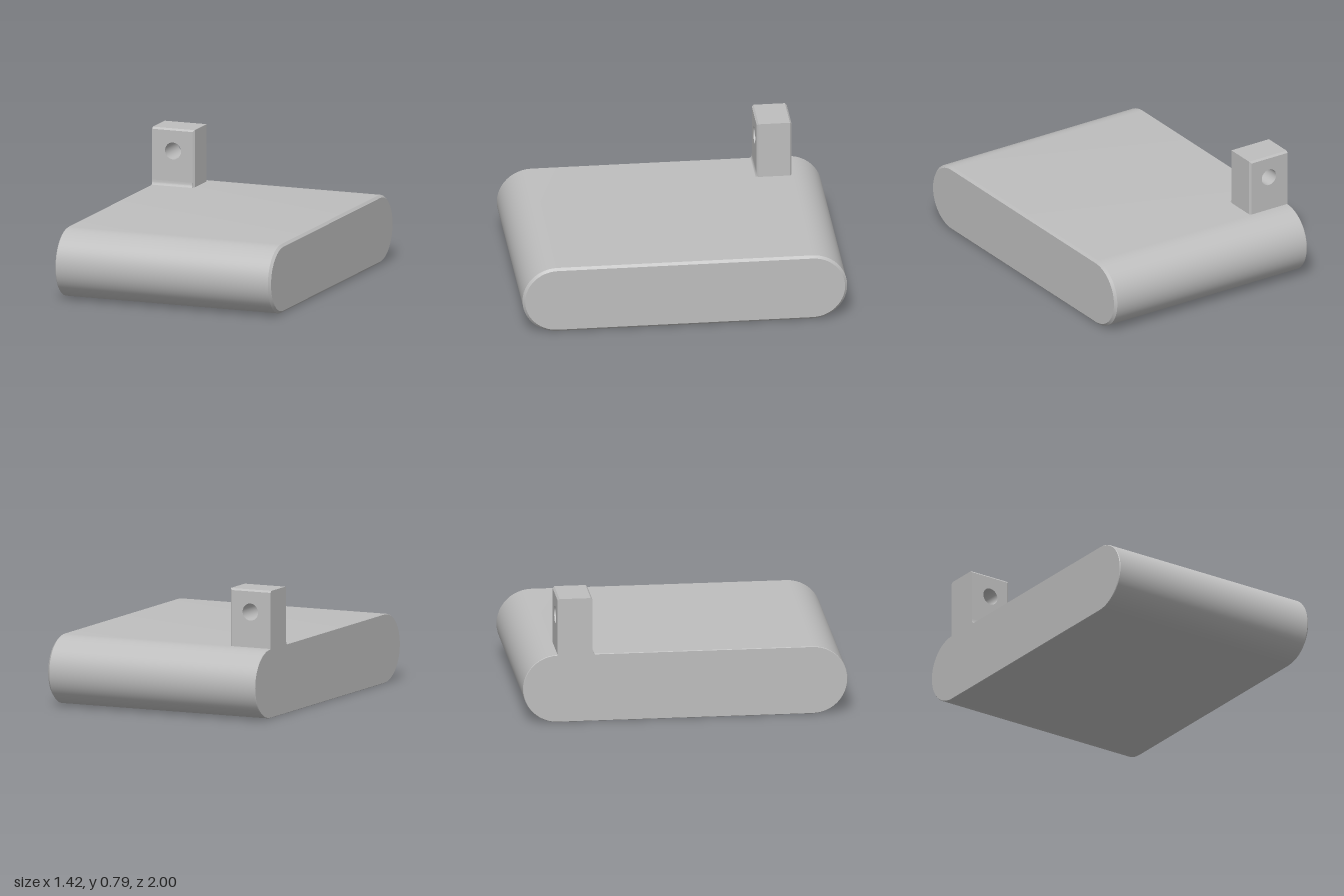
import * as THREE from 'three';
import { toCreasedNormals } from 'three/addons/utils/BufferGeometryUtils.js';

const END = 0.71, RADIUS = 0.214, CENTRE_Z = 0.786;

// Rounded slab outline in the z-y plane, shrunk by an inset
function outline(inset, steps = 24) {
  const points = [];
  for (const side of [1, -1]) {
    for (let i = 0; i <= steps; i++) {
      const a = side * (-Math.PI / 2 + (Math.PI * i) / steps);
      const r = RADIUS - inset;
      points.push([side * (CENTRE_Z + r * Math.cos(a)), RADIUS + side * r * Math.sin(a)]);
    }
  }
  return points;
}

// Slab lofted along x, with a chamfer on its left end and a fine edge on its right
function slabGeometry() {
  const rings = [[-END, 0.003], [-END + 0.004, 0], [END - 0.015, 0], [END, 0.015]];
  const positions = [], index = [];
  let n = 0;
  for (const [x, inset] of rings) {
    const points = outline(inset);
    n = points.length;
    // the lower arc of the back end must follow the front end, so sort around the centre
    points.sort((p, q) => Math.atan2(p[1] - RADIUS, p[0]) - Math.atan2(q[1] - RADIUS, q[0]));
    for (const [z, y] of points) positions.push(x, y, z);
  }
  for (let r = 0; r < rings.length - 1; r++) {
    for (let i = 0; i < n; i++) {
      const a = r * n + i, b = r * n + ((i + 1) % n);
      index.push(a, a + n, b, b, a + n, b + n);
    }
  }
  // flat end caps
  const last = (rings.length - 1) * n;
  for (let i = 1; i < n - 1; i++) {
    index.push(0, i, i + 1);
    index.push(last, last + i + 1, last + i);
  }
  const geometry = new THREE.BufferGeometry();
  geometry.setAttribute('position', new THREE.Float32BufferAttribute(positions, 3));
  geometry.setIndex(index);
  return toCreasedNormals(geometry, 0.5);
}

// Upright lug with a straight through hole and chamfered outer edges
function lugGeometry() {
  const bevel = 0.011, holeX = -0.572, holeY = 0.647, holeR = 0.053;
  const left = -END + bevel, right = -0.433 - bevel, top = 0.786 - bevel, base = 0.41;
  const shape = new THREE.Shape();
  shape.moveTo(left, base);
  shape.lineTo(right, base);
  shape.lineTo(right, top);
  shape.lineTo(left, top);
  shape.closePath();
  const hole = new THREE.Path();
  hole.absarc(holeX, holeY, holeR, 0, Math.PI * 2, true);
  shape.holes.push(hole);
  const geometry = new THREE.ExtrudeGeometry(shape, {
    depth: 0.215 - 2 * bevel, curveSegments: 12,
    bevelEnabled: true, bevelSize: bevel, bevelThickness: bevel, bevelSegments: 1,
  });
  geometry.translate(0, 0, -0.786 + bevel);
  // keep the right side flush with the slab and the bore straight
  const p = geometry.attributes.position;
  for (let i = 0; i < p.count; i++) {
    const dx = p.getX(i) - holeX, dy = p.getY(i) - holeY, d = Math.hypot(dx, dy);
    if (d < 0.08) p.setXY(i, holeX + (dx / d) * holeR, holeY + (dy / d) * holeR);
    else if (p.getX(i) < left + 0.001) p.setX(i, -END);
  }
  return toCreasedNormals(geometry, 0.6);
}

// Small concave fillet along the front foot of the lug
function filletGeometry() {
  const y = 2 * RADIUS, w = 0.014, h = 0.03;
  const shape = new THREE.Shape();
  shape.moveTo(-0.02, y - 0.01);
  shape.lineTo(w, y - 0.01);
  shape.lineTo(w, y);
  shape.quadraticCurveTo(0, y, 0, y + h);
  shape.lineTo(-0.02, y + h);
  shape.closePath();
  const geometry = new THREE.ExtrudeGeometry(shape, { depth: 0.268, bevelEnabled: false, curveSegments: 5 });
  geometry.rotateY(-Math.PI / 2); // profile x becomes z, depth runs towards -x
  geometry.translate(-END + 0.268, 0, -0.571);
  return toCreasedNormals(geometry, 0.6);
}

export function createModel() {
  const material = new THREE.MeshStandardMaterial({ color: 0xbebebe });
  material.name = 'light grey';
  const model = new THREE.Group();
  model.name = 'slabWithLug';
  const add = (name, geometry) => {
    const mesh = new THREE.Mesh(geometry, material);
    mesh.name = name;
    model.add(mesh);
  };
  add('slab', slabGeometry());
  add('lug', lugGeometry());
  add('lugFillet', filletGeometry());
  return model;
}
